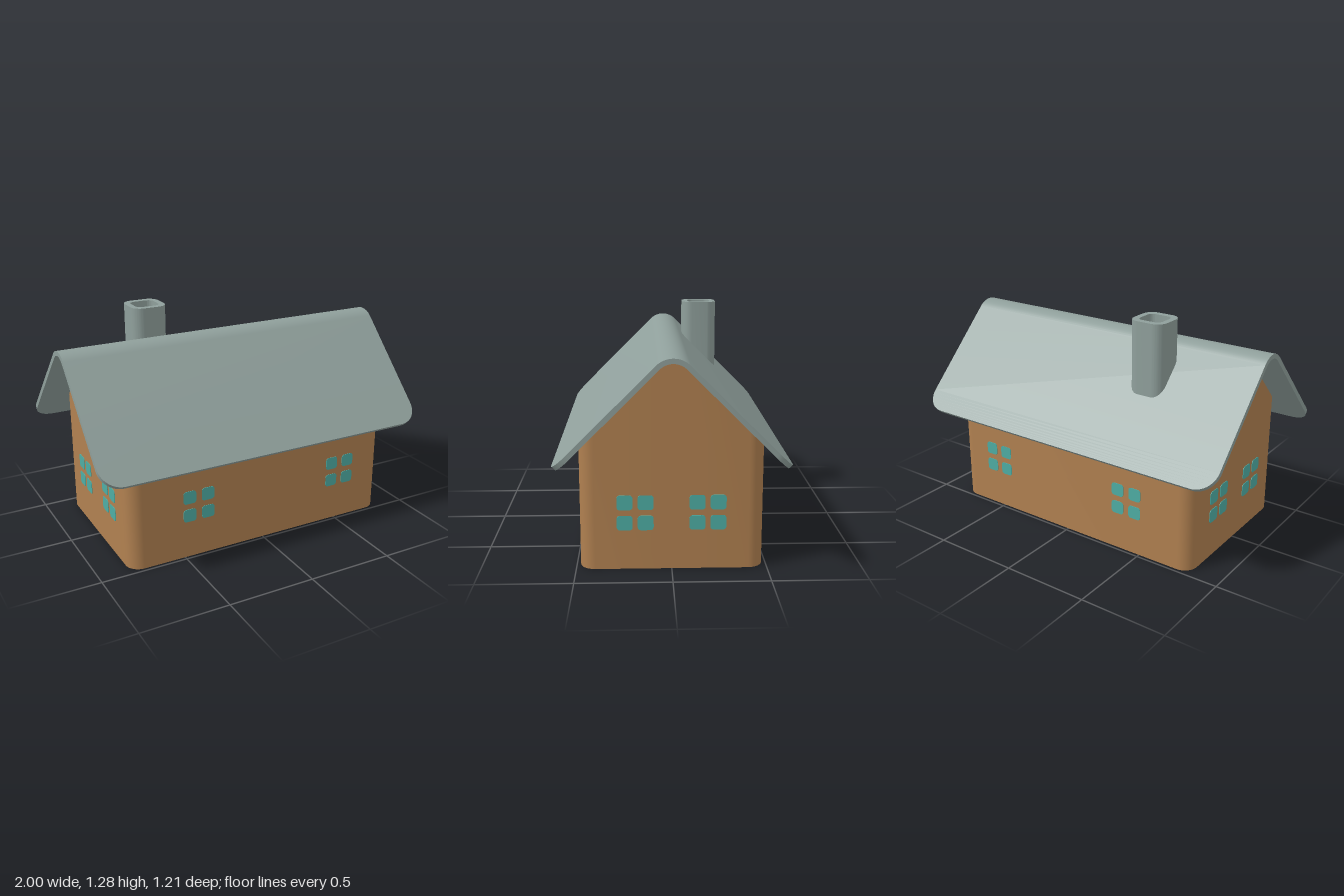
import * as THREE from 'three';
import { toCreasedNormals } from 'three/addons/utils/BufferGeometryUtils.js';

const HALF_PI = Math.PI / 2;
const SLOPE = Math.PI / 4;
// Roof section: round ridge of radius RIDGE, then 45 degree slopes
const RIDGE = 0.12, THICK = 0.026, UNDER = RIDGE - THICK, CENTRE_Y = 1.14 - RIDGE;

// Steps from 0 to 1
const steps = (n) => Array.from({ length: n + 1 }, (_, i) => i / n);

// Skin a row of four-cornered sections and cap both ends
function loft(sections) {
  const index = [];
  for (let i = 0; i < sections.length - 1; i++) {
    for (let j = 0; j < 4; j++) {
      const k = (j + 1) % 4;
      const a = i * 4 + j, b = i * 4 + k, c = b + 4, d = a + 4;
      index.push(a, b, c, a, c, d);
    }
  }
  const e = (sections.length - 1) * 4;
  index.push(0, 3, 2, 0, 2, 1, e, e + 1, e + 2, e, e + 2, e + 3);
  const geometry = new THREE.BufferGeometry();
  geometry.setAttribute('position', new THREE.Float32BufferAttribute(sections.flat(2), 3));
  geometry.setIndex(index);
  return toCreasedNormals(geometry, 0.5);
}

// Mirror a list running outward from the middle, giving one run from -z to +z
const mirrored = (half) => [
  ...half.slice(1).reverse().map((p) => ({ ...p, side: -1 })),
  ...half.map((p) => ({ ...p, side: 1 })),
];

function roundedRect(target, w, h, r) {
  const x = w / 2, y = h / 2;
  target.moveTo(-x + r, -y);
  target.lineTo(x - r, -y).absarc(x - r, -y + r, r, -HALF_PI, 0);
  target.lineTo(x, y - r).absarc(x - r, y - r, r, 0, HALF_PI);
  target.lineTo(-x + r, y).absarc(-x + r, y - r, r, HALF_PI, Math.PI);
  target.lineTo(-x, -y + r).absarc(-x + r, -y + r, r, Math.PI, Math.PI * 1.5);
  return target;
}

// Height of the roof's underside above a given z
function undersideY(z) {
  const d = Math.abs(z);
  return d < UNDER * Math.sin(SLOPE)
    ? CENTRE_Y + Math.sqrt(UNDER * UNDER - d * d)
    : CENTRE_Y + UNDER * Math.SQRT2 - d;
}

// Walls with rounded upright corners, rising to meet the roof
function wallsGeometry() {
  const X = 0.825, Z = 0.48, R = 0.08;
  const half = [
    ...steps(8).map((t) => ({ z: UNDER * Math.sin(t * SLOPE), x: X })),
    ...steps(8).map((t) => ({
      z: Z - R + R * Math.sin(t * HALF_PI),
      x: X - R + R * Math.cos(t * HALF_PI),
    })),
  ];
  return loft(mirrored(half).map(({ z, x, side }) => {
    const y = undersideY(z);
    return [[-x, 0, z * side], [x, 0, z * side], [x, y, z * side], [-x, y, z * side]];
  }));
}

// Bent roof sheet with rounded corners at the eaves
function roofGeometry() {
  const X = 1, R = 0.12, LENGTH = (0.607 - RIDGE * Math.sin(SLOPE)) * Math.SQRT2;
  const half = [
    ...steps(8).map((t) => ({ angle: t * SLOPE, along: 0, x: X })),
    ...steps(10).map((t) => ({
      angle: SLOPE,
      along: LENGTH - R + R * Math.sin(t * HALF_PI),
      x: X - R + R * Math.cos(t * HALF_PI),
    })),
  ];
  return loft(mirrored(half).map(({ angle, along, x, side }) => {
    const s = Math.sin(angle), c = Math.cos(angle);
    const at = (r) => [CENTRE_Y + r * c - along * s, side * (r * s + along * c)];
    const inner = at(UNDER), outer = at(RIDGE);
    return [[-x, ...inner], [x, ...inner], [x, ...outer], [-x, ...outer]];
  }));
}

// Hollow square flue with rounded corners
function chimneyGeometry() {
  const BASE = 0.86, TOP = 1.285;
  const shape = roundedRect(new THREE.Shape(), 0.208, 0.208, 0.06);
  shape.holes.push(roundedRect(new THREE.Path(), 0.142, 0.136, 0.035));
  const geometry = new THREE.ExtrudeGeometry(shape, {
    depth: TOP - BASE, bevelEnabled: false, curveSegments: 8,
  });
  geometry.rotateX(-HALF_PI).translate(-0.405, BASE, -0.209);
  return toCreasedNormals(geometry, 0.5);
}

// Four thin panes around a centre, facing +z
function makeWindow(w, h, gapX, gapY, material) {
  const group = new THREE.Group();
  group.name = 'window';
  const shape = roundedRect(new THREE.Shape(), w, h, 0.017);
  const geometry = new THREE.ExtrudeGeometry(shape, {
    depth: 0.005, bevelEnabled: false, curveSegments: 4,
  });
  for (const sx of [-1, 1]) {
    for (const sy of [-1, 1]) {
      const pane = new THREE.Mesh(geometry, material);
      pane.name = 'windowPane';
      pane.position.set(sx * (w + gapX) / 2, sy * (h + gapY) / 2, -0.002);
      group.add(pane);
    }
  }
  return group;
}

export function createModel() {
  const paint = (name, color) => {
    const material = new THREE.MeshStandardMaterial({ color });
    material.name = name;
    return material;
  };
  const wood = paint('brownWall', 0xb08050);
  const slate = paint('greyRoof', 0x8f9f9b);
  const glass = paint('tealGlass', 0x4eada4);

  const house = new THREE.Group();
  house.name = 'house';
  const add = (name, geometry, material) => {
    const mesh = new THREE.Mesh(geometry, material);
    mesh.name = name;
    house.add(mesh);
  };
  add('walls', wallsGeometry(), wood);
  add('roof', roofGeometry(), slate);
  add('chimney', chimneyGeometry(), slate);

  // Windows on the long walls and on the gable ends
  for (const side of [-1, 1]) {
    for (const x of [-0.411, 0.525]) {
      const pane = makeWindow(0.077, 0.075, 0.035, 0.034, glass);
      pane.position.set(x, 0.31, side * 0.48);
      if (side < 0) pane.rotation.y = Math.PI;
      house.add(pane);
    }
    for (const z of [-0.187, 0.19]) {
      const pane = makeWindow(0.083, 0.079, 0.026, 0.031, glass);
      pane.position.set(side * 0.825, 0.308, z);
      pane.rotation.y = side * HALF_PI;
      house.add(pane);
    }
  }
  return house;
}
